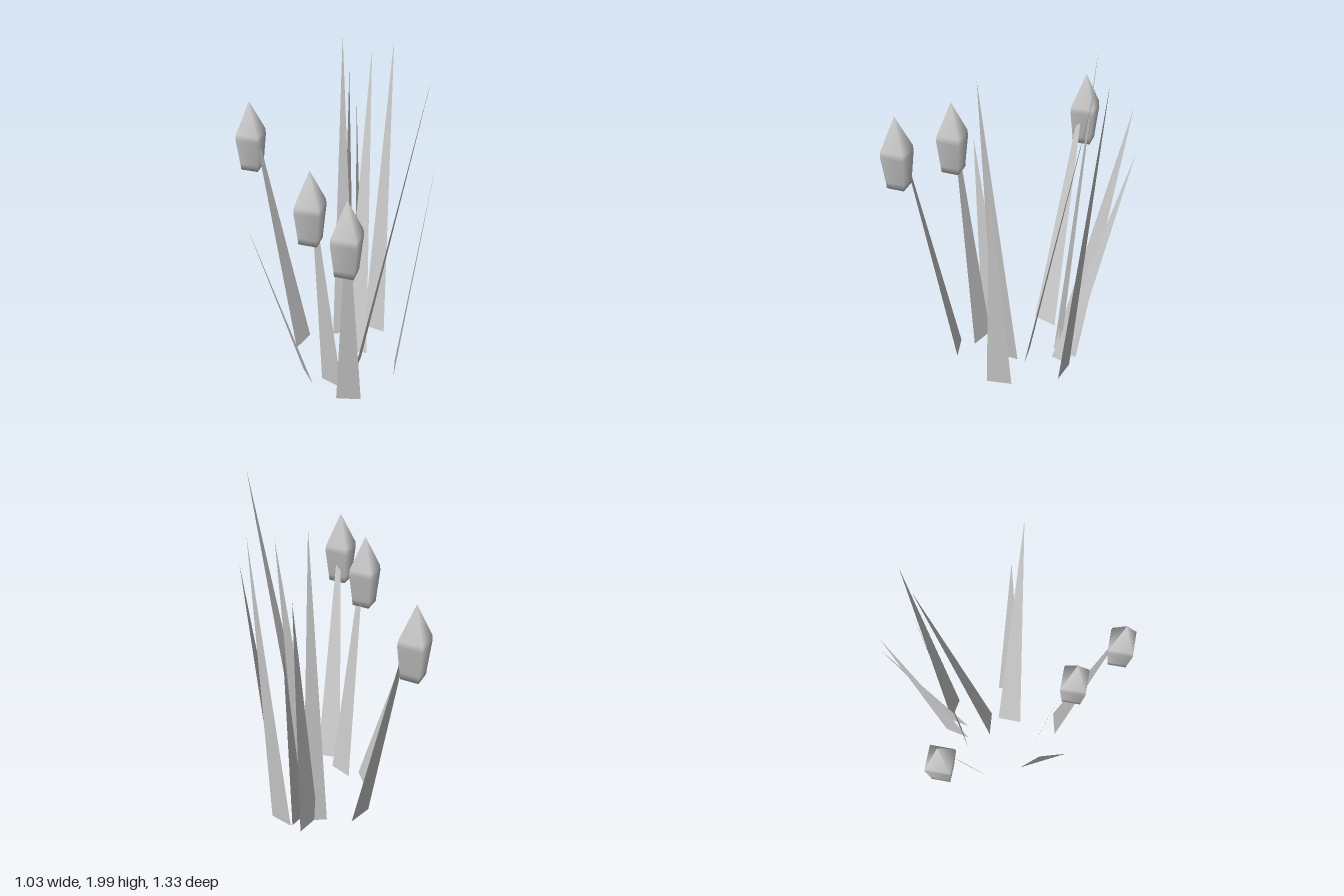
import * as THREE from 'three';

const grey = new THREE.MeshStandardMaterial({ color: 0xcccccc, side: THREE.DoubleSide });
grey.name = 'plain grey';

// Flat tapering blade: two corners on the ground (x, z) and a tip (x, y, z)
function blade(name, [ax, az], [bx, bz], tip) {
  const g = new THREE.BufferGeometry();
  g.setAttribute('position', new THREE.Float32BufferAttribute([ax, 0, az, bx, 0, bz, ...tip], 3));
  g.setIndex([0, 1, 2]);
  g.computeVertexNormals();
  const mesh = new THREE.Mesh(g, grey);
  mesh.name = name;
  return mesh;
}

// Four-sided smooth bud, measured down from its apex
const budProfile = [[0, -0.42], [0.071, -0.42], [0.075, -0.38], [0.094, -0.225], [0.091, -0.19], [0, 0]]
  .map(([r, y]) => new THREE.Vector2(r, y));

function bud(apex) {
  const mesh = new THREE.Mesh(new THREE.LatheGeometry(budProfile, 4), grey);
  mesh.position.set(...apex);
  mesh.name = 'bud';
  return mesh;
}

export function createModel() {
  const group = new THREE.Group();
  group.name = 'reeds';

  // Stems that end in buds
  const stems = [
    [[-0.14, -0.23], [-0.01, -0.3], [-0.23, 1.585, -0.57]],
    [[-0.127, 0.09], [-0.063, 0.22], [-0.262, 1.567, 0.238]],
    [[-0.133, 0.28], [-0.01, 0.356], [-0.23, 1.567, 0.567]],
  ];
  for (const [a, b, tip] of stems) {
    const flower = new THREE.Group();
    flower.name = 'buddedStem';
    flower.add(blade('stem', a, b, tip), bud(tip));
    group.add(flower);
  }

  // Bare leaves
  const leaves = [
    [[-0.19, -0.035], [-0.2, 0.11], [-0.515, 1.165, 0.01]],
    [[0.17, 0.04], [0.065, 0.142], [0.362, 1.99, 0.342]],
    [[0.343, 0.16], [0.26, 0.28], [0.435, 1.465, 0.32]],
    [[0.42, -0.105], [0.34, -0.22], [0.517, 1.915, -0.27]],
    [[0.11, -0.072], [0.22, 0.02], [0.387, 1.89, -0.283]],
    [[0.123, -0.237], [0.257, -0.2], [0.245, 1.96, -0.357]],
    [[0.17, -0.2], [0.3, -0.285], [0.372, 1.67, -0.507]],
    [[0.237, -0.157], [0.33, -0.22], [0.425, 1.43, -0.508]],
  ];
  for (const [a, b, tip] of leaves) group.add(blade('leaf', a, b, tip));

  return group;
}
